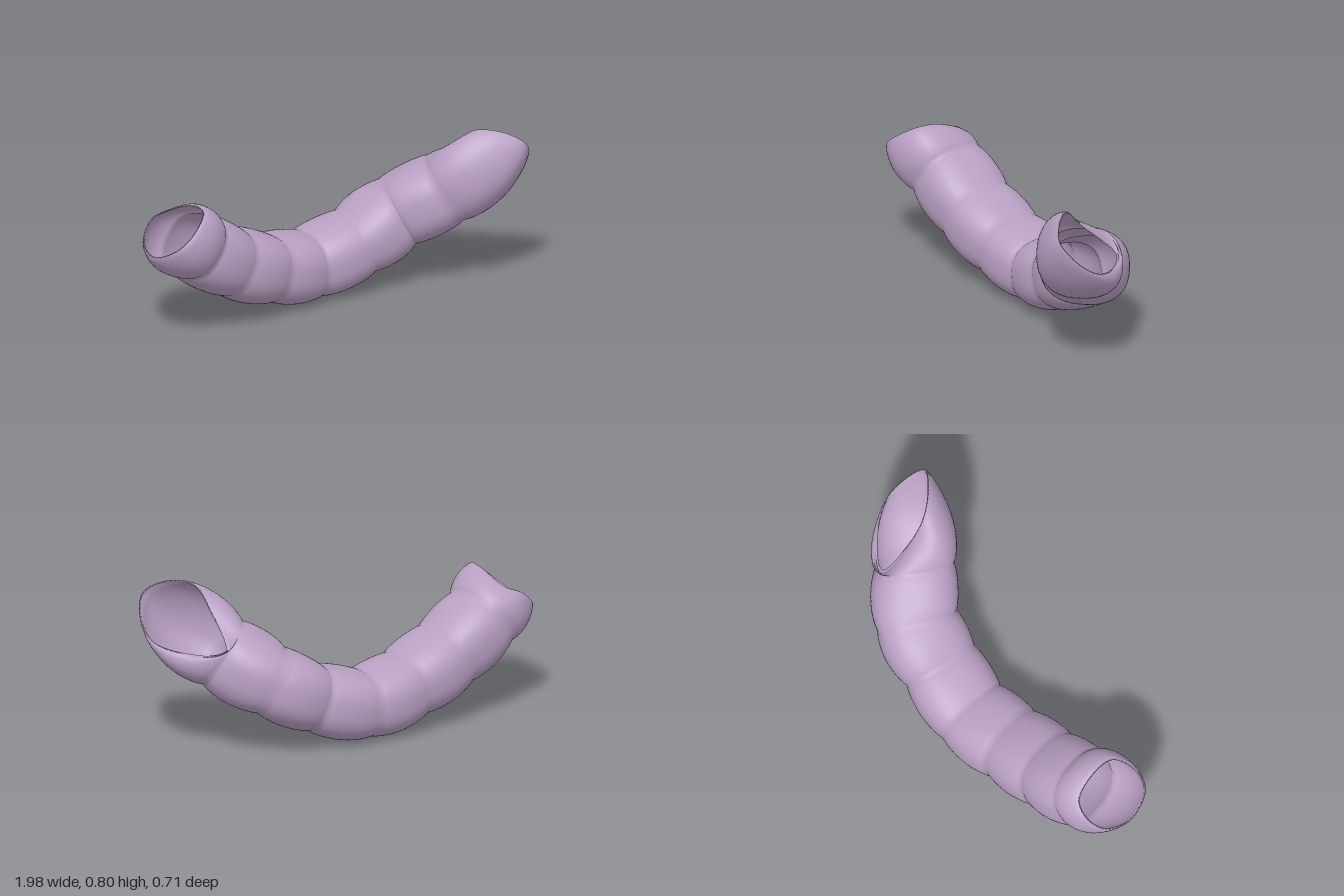
import * as THREE from 'three';

const SIDES = 56, STEPS = 12, WALL = 0.945;
const V = (x, y, z) => new THREE.Vector3(x, y, z);

// Joints along the tube: centre x, y, z, half height, half depth
const joints = [
  [-0.72, 0.455, -0.08, 0.163, 0.185],
  [-0.505, 0.315, -0.105, 0.162, 0.188],
  [-0.26, 0.217, -0.135, 0.157, 0.185],
  [0, 0.172, -0.165, 0.155, 0.184],
  [0.26, 0.237, -0.135, 0.157, 0.186],
  [0.475, 0.35, -0.1, 0.165, 0.193],
  [0.655, 0.48, 0.045, 0.172, 0.19],
];

// Rims of the open ends, every 45 degrees: top, front, bottom, back
const leftRim = [
  V(-0.75, 0.68, -0.04), V(-0.76, 0.68, 0.07), V(-0.87, 0.60, 0.135), V(-0.95, 0.53, 0.11),
  V(-0.995, 0.465, -0.03), V(-0.96, 0.505, -0.16), V(-0.87, 0.585, -0.21), V(-0.79, 0.62, -0.18),
];
const rightRim = [
  V(0.70, 0.69, 0.07), V(0.73, 0.80, 0.18), V(0.83, 0.80, 0.29), V(0.92, 0.74, 0.345),
  V(0.98, 0.62, 0.26), V(0.98, 0.55, 0.15), V(0.87, 0.515, -0.01), V(0.72, 0.52, -0.11),
];

const centroid = (pts) => pts.reduce((s, p) => s.add(p), V(0, 0, 0)).divideScalar(pts.length);
const swell = (t) => Math.pow(Math.max(0, Math.sin(Math.PI * t)), 0.75);

// Centre line through the rims and joints
const spine = new THREE.CatmullRomCurve3([
  centroid(leftRim), ...joints.map((j) => V(j[0], j[1], j[2])), centroid(rightRim),
]);

// Rounded-square offset from the centre line at joint position s
function offset(s, angle, bulge) {
  const k = Math.min(Math.floor(s), joints.length - 2), f = s - k;
  const a = joints[k], b = joints[k + 1];
  const tangent = spine.getTangent((s + 1) / (joints.length + 1));
  const side = tangent.clone().cross(V(0, 1, 0)).normalize();
  const up = side.clone().cross(tangent);
  const sq = (v) => Math.sign(v) * Math.pow(Math.abs(v), 0.82);
  const ru = THREE.MathUtils.lerp(a[3], b[3], f) * bulge;
  const rw = THREE.MathUtils.lerp(a[4], b[4], f) * bulge;
  return up.multiplyScalar(sq(Math.cos(angle)) * ru)
    .addScaledVector(side, sq(Math.sin(angle)) * rw);
}

function bodyRing(s) {
  const centre = spine.getPoint((s + 1) / (joints.length + 1));
  const bulge = 1 + 0.1 * swell(s - Math.floor(s));
  return Array.from({ length: SIDES }, (_, j) =>
    offset(s, (j / SIDES) * Math.PI * 2, bulge).add(centre));
}

// Loft from an end joint to its slanted rim, swelling outward with its length
function endRing(s, rim, t) {
  const loop = new THREE.CatmullRomCurve3(rim, true);
  return bodyRing(s).map((p, j) => {
    const e = loop.getPoint(j / SIDES);
    const out = offset(s, (j / SIDES) * Math.PI * 2, 1).normalize();
    const push = 0.13 * p.distanceTo(e) * swell(t);
    return p.lerp(e, t).addScaledVector(out, push);
  });
}

function tubeGeometry() {
  const last = joints.length - 1, outer = [];
  for (let i = STEPS; i > 0; i--) outer.push(endRing(0, leftRim, i / STEPS));
  for (let i = 0; i <= last * STEPS; i++) outer.push(bodyRing(i / STEPS));
  for (let i = 1; i <= STEPS; i++) outer.push(endRing(last, rightRim, i / STEPS));

  // Inner wall runs back through the tube and closes at the first rim
  const inner = outer.map((ring) => {
    const c = centroid(ring);
    return ring.map((p) => p.clone().lerp(c, 1 - WALL));
  }).reverse();

  const rings = [...outer, ...inner], index = [];
  for (let i = 0; i < rings.length; i++) {
    const n = (i + 1) % rings.length;
    for (let j = 0; j < SIDES; j++) {
      const k = (j + 1) % SIDES;
      const a = i * SIDES + j, b = i * SIDES + k, c = n * SIDES + j, d = n * SIDES + k;
      index.push(a, b, c, b, d, c);
    }
  }
  const geometry = new THREE.BufferGeometry().setFromPoints(rings.flat());
  geometry.setIndex(index);
  geometry.computeVertexNormals();
  return geometry;
}

export function createModel() {
  const mauve = new THREE.MeshStandardMaterial({ color: 0xb9a0c3 });
  mauve.name = 'mauve';
  const geometry = tubeGeometry();
  geometry.computeBoundingBox();
  geometry.translate(0, -geometry.boundingBox.min.y, 0);
  const tube = new THREE.Mesh(geometry, mauve);
  tube.name = 'segmentedTube';
  const group = new THREE.Group();
  group.name = 'hollowSegmentedTube';
  group.add(tube);
  return group;
}
